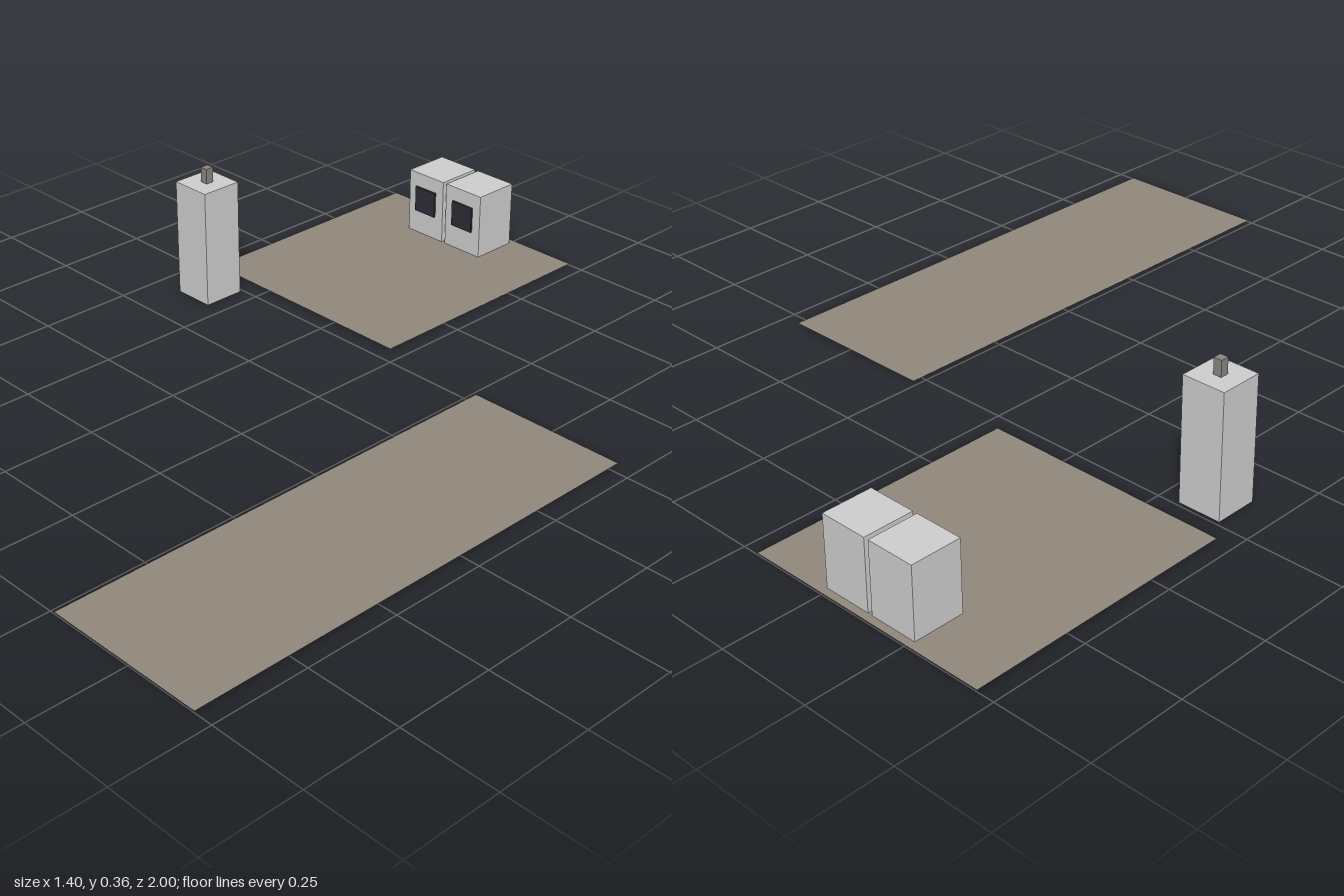
import * as THREE from 'three';

const material = (name, color, side = THREE.FrontSide) => {
  const m = new THREE.MeshStandardMaterial({ color, side });
  m.name = name;
  return m;
};

export function createModel() {
  const group = new THREE.Group();
  const paving = material('taupe paving', 0x90867b, THREE.DoubleSide);
  const underlay = material('brown underlay', 0x78665c);
  const casing = material('light grey casing', 0xcbcbcb);
  const glass = material('dark glass', 0x2b2b33);
  const metal = material('grey metal', 0x88837e);

  // Box given by its extents on each axis
  const box = (name, mat, [x0, x1], [y0, y1], [z0, z1]) => {
    const mesh = new THREE.Mesh(new THREE.BoxGeometry(x1 - x0, y1 - y0, z1 - z0), mat);
    mesh.position.set((x0 + x1) / 2, (y0 + y1) / 2, (z0 + z1) / 2);
    mesh.name = name;
    group.add(mesh);
  };

  // Flat sheet lying just above the ground
  const sheet = (name, [x0, x1], [z0, z1]) => {
    const mesh = new THREE.Mesh(new THREE.PlaneGeometry(x1 - x0, z1 - z0), paving);
    mesh.rotation.x = -Math.PI / 2;
    mesh.position.set((x0 + x1) / 2, 0.004, (z0 + z1) / 2);
    mesh.name = name;
    group.add(mesh);
  };

  // Ground sheets, the long one over a smaller underlay
  sheet('squareFloor', [-0.705, -0.043], [-1, -0.295]);
  sheet('longFloor', [0.262, 0.7], [-0.28, 1]);
  box('longFloorUnderlay', underlay, [0.32, 0.645], [0, 0.003], [-0.155, 0.875]);

  // Pair of cabinets with dark front windows
  for (const [side, x] of [['right', -0.446], ['left', -0.308]]) {
    box(`${side}Cabinet`, casing, [x - 0.063, x + 0.063], [0.001, 0.185], [-0.98, -0.85]);
    box(`${side}CabinetWindow`, glass, [x - 0.036, x + 0.036], [0.071, 0.144], [-0.85, -0.844]);
  }

  // Tall post with a small stub on top
  box('tallPost', casing, [-0.665, -0.551], [0, 0.32], [-0.24, -0.126]);
  box('postStub', metal, [-0.619, -0.597], [0.32, 0.361], [-0.195, -0.173]);

  return group;
}
